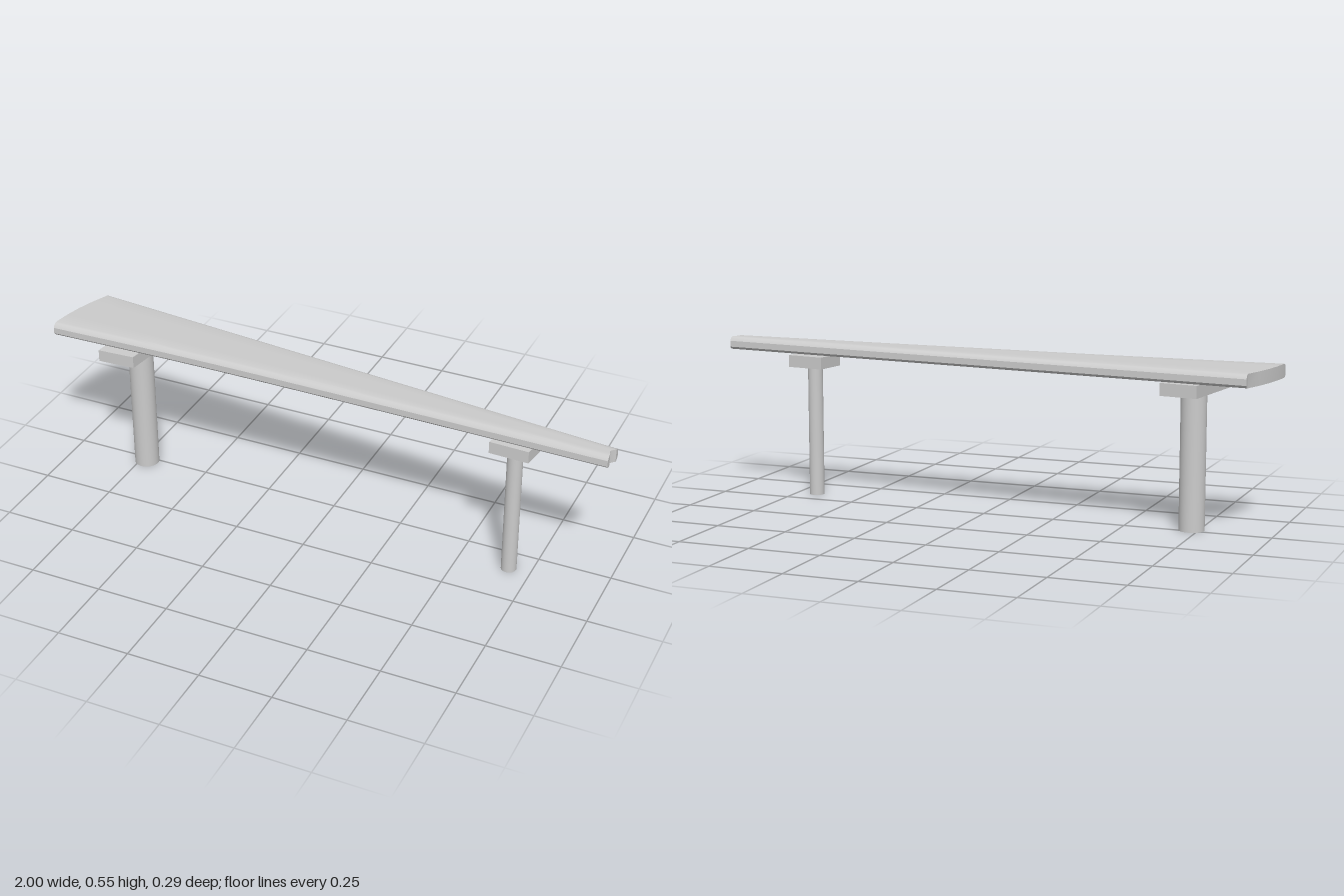
import * as THREE from 'three';
import { toCreasedNormals } from 'three/addons/utils/BufferGeometryUtils.js';

const material = new THREE.MeshStandardMaterial({ color: 0xcccccc });

// Tapered plank with softened edges, lofted from sections along x
function plankGeometry() {
  // Columns from front to back: [position across, edge inset, bottom y, top y]
  const edge = [[0, 0, 0.517, 0.538], [0, 0.005, 0.511, 0.546], [0, 0.012, 0.508, 0.551], [0, 0.02, 0.507, 0.553]];
  const middle = [0.25, 0.5, 0.75].map(w => [w, 0.02, 0.507, 0.553]);
  const back = edge.map(([, d, b, t]) => [1, d, b, t]).reverse();
  const columns = [...edge, ...middle, ...back];
  const n = columns.length;
  const loopSize = n * 2;
  const steps = 20;
  const frontEdge = new THREE.CatmullRomCurve3([
    new THREE.Vector3(-1, 0, 0.13), new THREE.Vector3(-0.5, 0, 0.119),
    new THREE.Vector3(0.2, 0, 0.123), new THREE.Vector3(0.99, 0, 0.134)]);
  const positions = [];
  const index = [];
  for (let i = 0; i <= steps; i++) {
    const s = i / steps;
    const f = frontEdge.getPoint(s);
    const bx = THREE.MathUtils.lerp(-0.94, 1, s);
    const bz = THREE.MathUtils.lerp(-0.147, 0.061, s);
    const point = ([w, d], y) => positions.push(
      THREE.MathUtils.lerp(f.x, bx, w) - 0.01 * Math.sin(Math.PI * w),
      y - 0.004 * w * (1 - s),
      THREE.MathUtils.lerp(f.z, bz, w) - d * (1 - 2 * w));
    columns.forEach(c => point(c, c[3]));
    [...columns].reverse().forEach(c => point(c, c[2]));
  }
  for (let i = 0; i < steps; i++) {
    for (let j = 0; j < loopSize; j++) {
      const a = i * loopSize + j;
      const c = i * loopSize + (j + 1) % loopSize;
      index.push(a, a + loopSize, c, c, a + loopSize, c + loopSize);
    }
  }
  // End caps
  const last = steps * loopSize;
  for (let k = 0; k < n - 1; k++) {
    const t = k, t2 = k + 1, b = loopSize - 1 - k, b2 = b - 1;
    index.push(last + b, last + b2, last + t, last + t, last + b2, last + t2);
    index.push(b, t, b2, t, t2, b2);
  }
  const geometry = new THREE.BufferGeometry();
  geometry.setAttribute('position', new THREE.Float32BufferAttribute(positions, 3));
  geometry.setIndex(index);
  return toCreasedNormals(geometry, 0.5);
}

// Flat slab from x, z corners, between two heights
function slabGeometry(corners, y0, y1) {
  const shape = new THREE.Shape(corners.map(([x, z]) => new THREE.Vector2(x, -z)));
  const geometry = new THREE.ExtrudeGeometry(shape, { depth: y1 - y0, bevelEnabled: false });
  return geometry.rotateX(-Math.PI / 2).translate(0, y0, 0);
}

export function createModel() {
  const group = new THREE.Group();
  const add = (name, geometry) => {
    const mesh = new THREE.Mesh(geometry, material);
    mesh.name = name;
    group.add(mesh);
    return mesh;
  };

  add('seat', plankGeometry());

  // Each support is a skewed bracket on a round post
  const supports = [
    { name: 'wide', x: -0.727, z: 0.017, r: 0.043,
      corners: [[-0.815, 0.147], [-0.685, 0.14], [-0.65, -0.118], [-0.778, -0.138]] },
    { name: 'narrow', x: 0.675, z: 0.087, r: 0.026,
      corners: [[0.6, 0.131], [0.735, 0.136], [0.75, 0.031], [0.615, 0.011]] }
  ];
  for (const { name, x, z, r, corners } of supports) {
    add(name + 'Bracket', slabGeometry(corners, 0.461, 0.503));
    add(name + 'Post', new THREE.CylinderGeometry(r, r, 0.462, 40)).position.set(x, 0.231, z);
  }
  return group;
}
